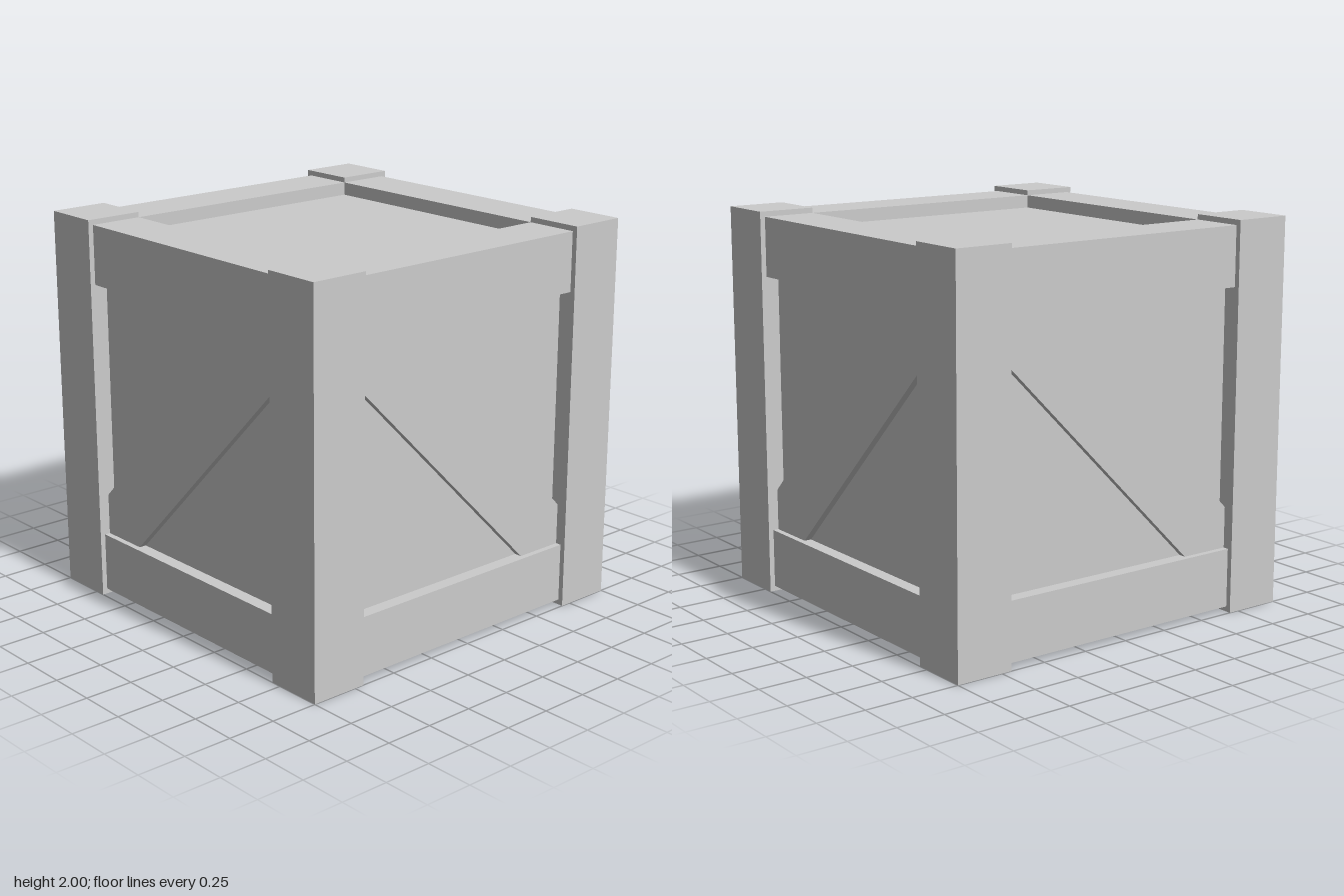
import * as THREE from 'three';

export function createModel() {
  const crate = new THREE.Group();
  crate.name = 'crate';
  const material = new THREE.MeshStandardMaterial({ color: 0xcccccc, flatShading: true });

  const POST = 0.305;        // post width, also the rail height
  const INNER = 1 - POST;    // inner edge of the posts
  const RAIL = 0.973;        // outer face of the rails
  const BRACE = 0.943;       // outer face of the diagonal braces
  const PANEL = 0.905;       // outer face of the panels

  const add = (parent, name, geometry, x = 0, y = 0, z = 0) => {
    const mesh = new THREE.Mesh(geometry, material);
    mesh.name = name;
    mesh.position.set(x, y, z);
    parent.add(mesh);
  };

  // Recessed panels as one inner box
  add(crate, 'panels', new THREE.BoxGeometry(2 * PANEL, 2 * PANEL, 2 * PANEL), 0, 1, 0);

  // Corner posts
  const post = new THREE.BoxGeometry(POST, 2, POST);
  const p = 1 - POST / 2;
  for (const sx of [-1, 1])
    for (const sz of [-1, 1]) add(crate, 'cornerPost', post, sx * p, 1, sz * p);

  // Diagonal brace outline, trimmed to the corners of the frame; flip mirrors it
  const braceGeometry = (flip) => {
    const h = RAIL - POST; // half height of the opening
    const points = [[-INNER, -h], [-0.43, -h], [INNER, 0.455], [INNER, h], [0.43, h], [-INNER, -0.455]]
      .map(([x, y]) => new THREE.Vector2(flip * x, y));
    return new THREE.ExtrudeGeometry(new THREE.Shape(points), {
      depth: BRACE - PANEL + 0.02, bevelEnabled: false,
    });
  };

  // Four sides: top rail, bottom rail and brace, turned about the vertical axis
  const depth = RAIL - INNER;
  const rail = new THREE.BoxGeometry(2 * INNER, POST, depth);
  const railY = RAIL - POST / 2;
  ['front', 'left', 'back', 'right'].forEach((side, i) => {
    const group = new THREE.Group();
    group.name = side + 'Side';
    group.position.y = 1;
    group.rotation.y = (i * Math.PI) / 2;
    add(group, 'topRail', rail, 0, railY, INNER + depth / 2);
    add(group, 'bottomRail', rail, 0, -railY, INNER + depth / 2);
    add(group, 'diagonalBrace', braceGeometry(i % 2 ? -1 : 1), 0, 0, PANEL - 0.02);
    crate.add(group);
  });

  return crate;
}
